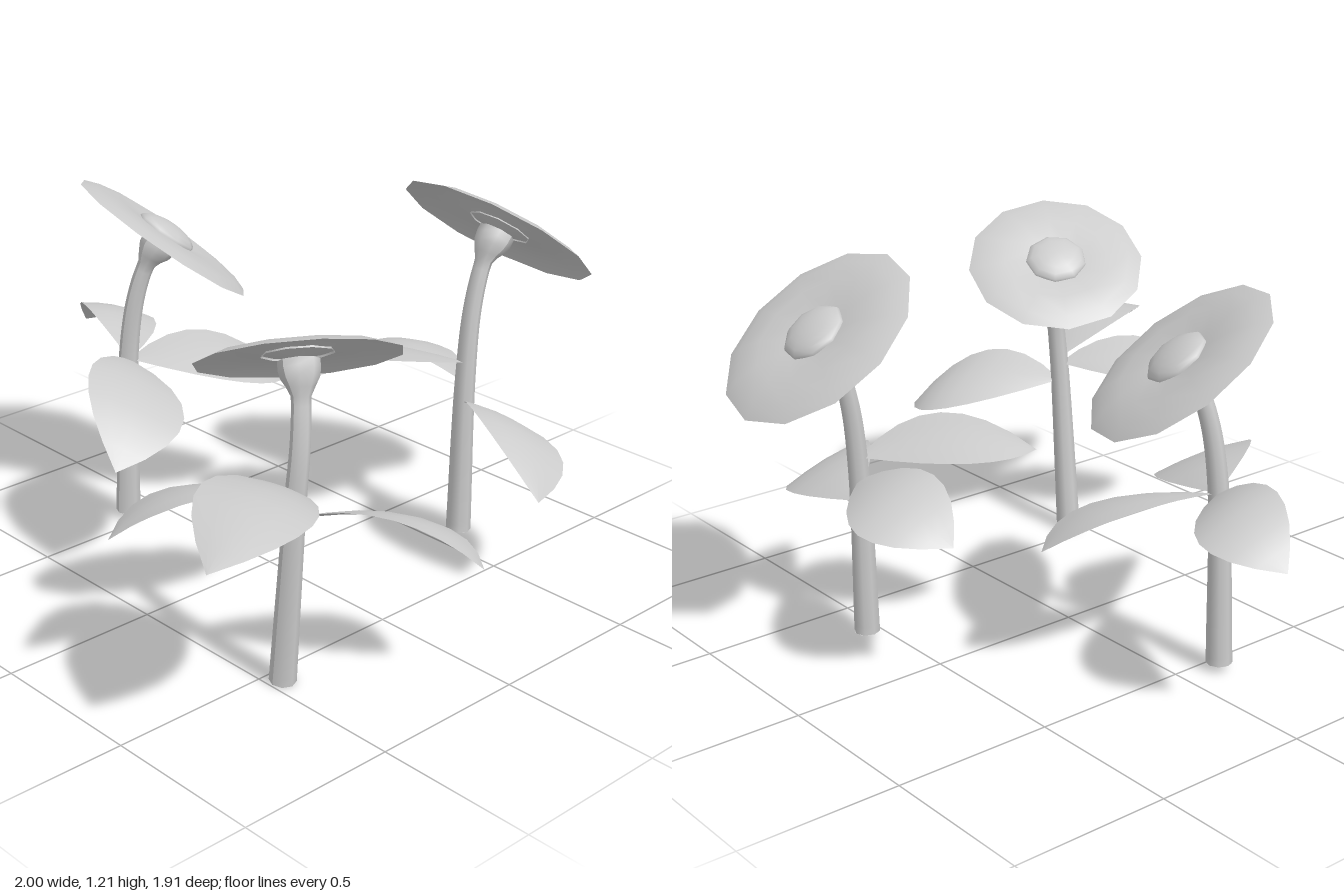
import * as THREE from 'three';

const V = (p) => new THREE.Vector3(...p);
const material = new THREE.MeshStandardMaterial({ color: 0xcccccc, side: THREE.DoubleSide });

function part(name, geometry) {
  const mesh = new THREE.Mesh(geometry, material);
  mesh.name = name;
  return mesh;
}

// Tapered stem that widens into a cup just under the bloom
function stemGeometry(path) {
  const rings = 40, sides = 8;
  const geometry = new THREE.TubeGeometry(path, rings, 1, sides);
  const pos = geometry.attributes.position;
  const v = new THREE.Vector3();
  for (let i = 0; i <= rings; i++) {
    const u = i / rings;
    const centre = path.getPointAt(u);
    const flare = THREE.MathUtils.smoothstep(u, 0.89, 0.97);
    const radius = THREE.MathUtils.lerp(0.04, 0.025, u) + 0.033 * flare;
    for (let j = 0; j <= sides; j++) {
      const k = i * (sides + 1) + j;
      v.fromBufferAttribute(pos, k).sub(centre).multiplyScalar(radius).add(centre);
      pos.setXYZ(k, v.x, v.y, v.z);
    }
  }
  geometry.computeVertexNormals();
  return geometry;
}

// Leaf stretched between two arched edges that meet at the stem and the tip
function leafGeometry(base, edgeA, edgeB, tip) {
  const arc = (edge) => {
    const control = edge.clone().multiplyScalar(2).sub(base.clone().add(tip).multiplyScalar(0.5));
    return new THREE.QuadraticBezierCurve3(base, control, tip);
  };
  const a = arc(edgeA), b = arc(edgeB);
  const rows = 8, cols = 4;
  const geometry = new THREE.PlaneGeometry(1, 1, cols, rows);
  const pos = geometry.attributes.position;
  for (let i = 0; i <= rows; i++) {
    const t = i / rows;
    const p = a.getPoint(t), q = b.getPoint(t);
    for (let j = 0; j <= cols; j++) {
      const s = j / cols;
      const v = p.clone().lerp(q, s);
      v.y += 0.015 * Math.sin(Math.PI * s) * Math.sin(Math.PI * t);
      pos.setXYZ(i * (cols + 1) + j, v.x, v.y, v.z);
    }
  }
  geometry.computeVertexNormals();
  return geometry;
}

// Stem points: foot, leaf joint, bend.
// Each leaf: height on the stem, two edge midpoints, tip.
const flowers = [
  {
    stem: [[-0.555, 0.03, 0.125], [-0.538, 0.6, 0.116], [-0.515, 0.8, 0.095]],
    centre: [-0.465, 0.988, 0.01], normal: [0.25, 0.8, -0.545], radius: 0.315,
    leaves: [
      [0.57, [-0.77, 0.57, -0.175], [-0.81, 0.67, 0.08], [-1, 0.53, -0.064]],
      [0.57, [-0.53, 0.59, -0.2], [-0.25, 0.51, -0.12], [-0.32, 0.445, -0.365]],
      [0.57, [-0.4, 0.63, 0.385], [-0.18, 0.5, 0.19], [-0.135, 0.43, 0.497]],
    ],
  },
  {
    stem: [[0.283, 0.035, -0.57], [0.276, 0.57, -0.583], [0.272, 0.8, -0.61]],
    centre: [0.275, 1.028, -0.717], normal: [0, 0.785, -0.62], radius: 0.32,
    leaves: [
      [0.61, [-0.04, 0.64, -0.4], [0.26, 0.69, -0.29], [-0.07, 0.64, -0.18]],
      [0.54, [-0.03, 0.52, -0.795], [0, 0.62, -0.505], [-0.22, 0.49, -0.6]],
      [0.47, [0.51, 0.55, -0.39], [0.62, 0.41, -0.63], [0.757, 0.36, -0.385]],
    ],
  },
  {
    stem: [[0.553, 0.01, 0.457], [0.6, 0.57, 0.458], [0.605, 0.76, 0.444]],
    centre: [0.54, 0.988, 0.393], normal: [-0.44, 0.85, -0.3], radius: 0.288,
    leaves: [
      [0.6, [0.28, 0.575, 0.63], [0.53, 0.66, 0.73], [0.345, 0.53, 0.9]],
      [0.62, [0.88, 0.69, 0.66], [0.57, 0.735, 0.76], [0.81, 0.63, 0.955]],
      [0.54, [0.87, 0.6, 0.36], [0.77, 0.47, 0.1], [1, 0.42, 0.13]],
    ],
  },
];

function createFlower({ stem, centre, normal, radius, leaves }) {
  const flower = new THREE.Group();
  flower.name = 'flower';
  const up = V(normal).normalize();
  const middle = V(centre);

  // Stem ends square to the bloom
  const points = stem.map(V);
  points.push(middle.clone().addScaledVector(up, -0.1), middle.clone().addScaledVector(up, -0.02));
  const path = new THREE.CatmullRomCurve3(points);
  flower.add(part('stem', stemGeometry(path)));
  const foot = part('stemFoot', new THREE.CircleGeometry(0.04, 8));
  foot.position.copy(points[0]);
  foot.lookAt(points[0].clone().sub(path.getTangentAt(0)));
  flower.add(foot);

  // Bloom: petal disc with drooping rim and dimpled middle, and a domed centre
  const head = new THREE.Group();
  head.name = 'bloom';
  head.position.copy(middle);
  head.quaternion.setFromUnitVectors(new THREE.Vector3(0, 1, 0), up);
  const profile = [[1, -0.018], [0.85, 0], [0.6, 0.01], [0.33, 0], [0, -0.015]]
    .map(([r, y]) => new THREE.Vector2(r * radius, y));
  head.add(part('petals', new THREE.LatheGeometry(profile, 12)));
  const dome = part('flowerCentre', new THREE.SphereGeometry(0.102, 9, 5, 0, Math.PI * 2, 0, Math.PI / 2));
  dome.scale.y = 0.4;
  dome.position.y = -0.005;
  head.add(dome);
  flower.add(head);

  // Leaves spring from the joint on the stem
  for (const [height, a, b, tip] of leaves) {
    const base = points[1].clone().setY(height);
    flower.add(part('leaf', leafGeometry(base, V(a), V(b), V(tip))));
  }
  return flower;
}

export function createModel() {
  const model = new THREE.Group();
  model.name = 'flowers';
  flowers.forEach((f) => model.add(createFlower(f)));
  return model;
}
